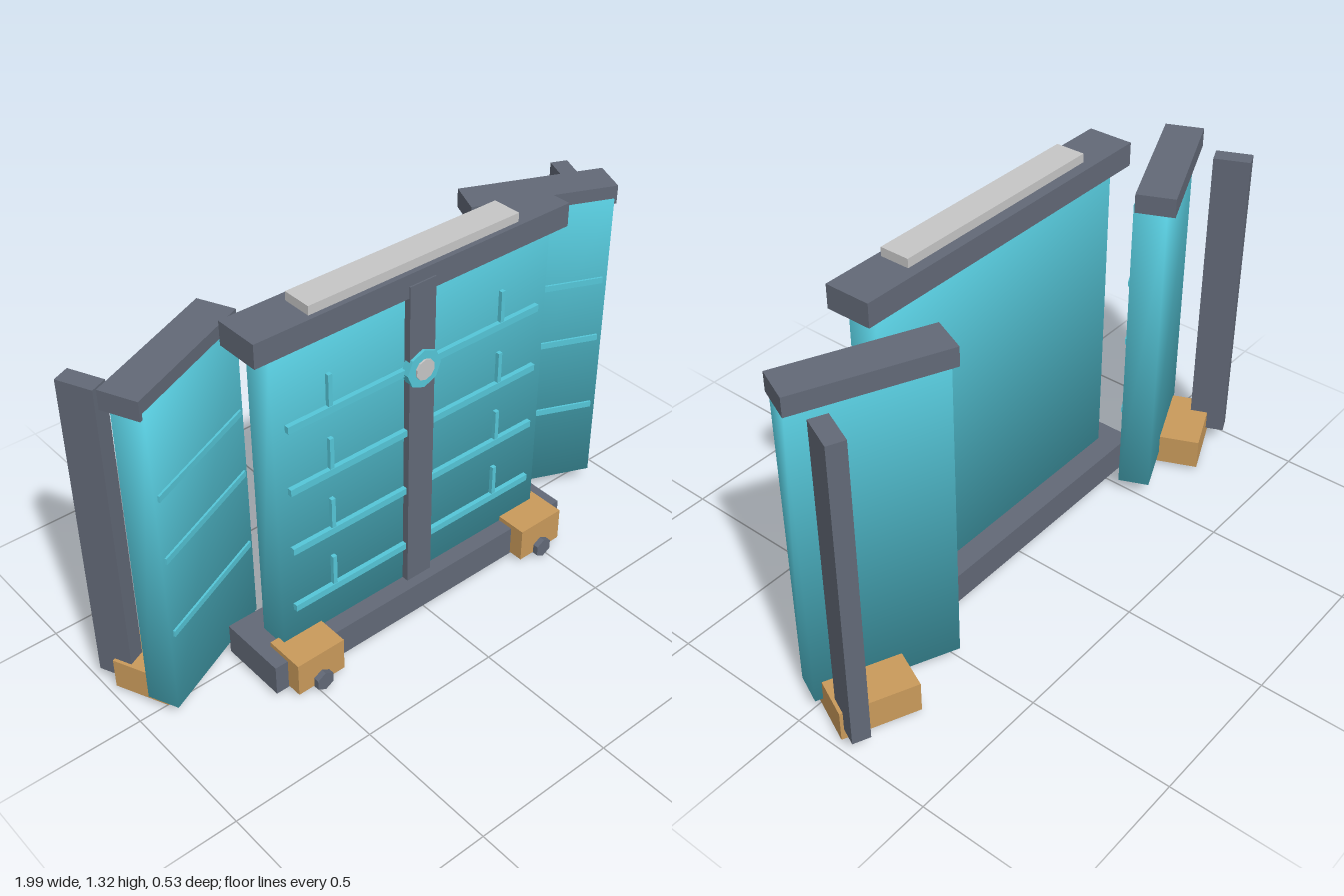
import * as THREE from 'three';

const material = (name, color) => {
  const m = new THREE.MeshStandardMaterial({ color });
  m.name = name;
  return m;
};

export function createModel() {
  const model = new THREE.Group();
  model.name = 'foldingShield';
  const teal = material('teal', 0x55c6d8);
  const slate = material('slate', 0x626977);
  const tan = material('tan', 0xc99a5b);
  const pale = material('paleGrey', 0xc6c6c6);

  // box given by its limits on each axis
  const box = (parent, name, mat, [x0, x1], [y0, y1], [z0, z1]) => {
    const mesh = new THREE.Mesh(new THREE.BoxGeometry(x1 - x0, y1 - y0, z1 - z0), mat);
    mesh.position.set((x0 + x1) / 2, (y0 + y1) / 2, (z0 + z1) / 2);
    mesh.name = name;
    parent.add(mesh);
    return mesh;
  };

  // slab with soft shading: normals point out through its corners
  const softBox = (...args) => {
    const mesh = box(...args);
    const { position, normal } = mesh.geometry.attributes;
    const v = new THREE.Vector3();
    for (let i = 0; i < position.count; i++) {
      v.fromBufferAttribute(position, i);
      v.set(Math.sign(v.x), Math.sign(v.y), Math.sign(v.z)).normalize();
      normal.setXYZ(i, v.x, v.y, v.z);
    }
    return mesh;
  };

  // prism with its axis along z
  const prism = (name, mat, r, sides, x, y, z0, z1) => {
    const geo = new THREE.CylinderGeometry(r, r, z1 - z0, sides).rotateX(Math.PI / 2);
    const flat = geo.toNonIndexed();
    flat.computeVertexNormals();
    const mesh = new THREE.Mesh(flat, mat);
    mesh.position.set(x, y, (z0 + z1) / 2);
    mesh.name = name;
    model.add(mesh);
  };

  // centre section
  box(model, 'baseRail', slate, [-0.62, 0.62], [0.015, 0.125], [-0.05, 0.195]);
  softBox(model, 'mainPanel', teal, [-0.54, 0.54], [0.12, 1.215], [0.03, 0.136]);
  box(model, 'topRail', slate, [-0.6, 0.6], [1.21, 1.29], [-0.002, 0.155]);
  box(model, 'topLight', pale, [-0.4, 0.4], [1.29, 1.32], [0.035, 0.137]);
  box(model, 'mast', slate, [-0.05, 0.05], [0.12, 1.25], [0.032, 0.16]);
  prism('hub', teal, 0.066, 8, 0, 0.952, 0.14, 0.17);
  prism('hubLight', pale, 0.036, 10, 0, 0.952, 0.16, 0.176);

  for (const s of [-1, 1]) {
    const span = (a, b) => (s > 0 ? [a, b] : [-b, -a]);

    // raised seams on the main panel
    for (const y of [0.27, 0.499, 0.726, 0.953]) {
      box(model, 'seam', teal, span(0.05, 0.497), [y - 0.012, y + 0.012], [0.13, 0.152]);
      box(model, 'seamUpright', teal, span(0.333, 0.348), [y - 0.01, y + 0.122], [0.13, 0.15]);
    }

    // front feet with bolts
    box(model, 'frontFoot', tan, span(0.392, 0.573), [0.02, 0.142], [0.108, 0.248]);
    prism('footBolt', slate, 0.035, 6, s * 0.483, 0.035, 0.2, 0.268);

    // angled wing: outer end swings forward
    const wing = new THREE.Group();
    wing.name = s > 0 ? 'leftWing' : 'rightWing';
    wing.position.set(s * 0.713, 0, -0.084);
    wing.rotation.y = -s * 0.415;
    model.add(wing);
    softBox(wing, 'wingPanel', teal, [-0.24, 0.24], [0.055, 1.165], [-0.038, 0.07]);
    box(wing, 'wingTopRail', slate, [-0.251, 0.251], [1.145, 1.21], [-0.065, 0.065]);
    for (const y of [0.355, 0.638, 0.866]) {
      box(wing, 'wingSeam', teal, [-0.223, 0.223], [y - 0.011, y + 0.011], [0.06, 0.077]);
    }
    box(wing, 'wingFoot', tan, span(-0.046, 0.214), [0.015, 0.125], [-0.178, 0.014]);
    box(wing, 'wingPost', slate, span(0.143, 0.203), [0.055, 1.16], [-0.241, -0.117]);
  }
  return model;
}
